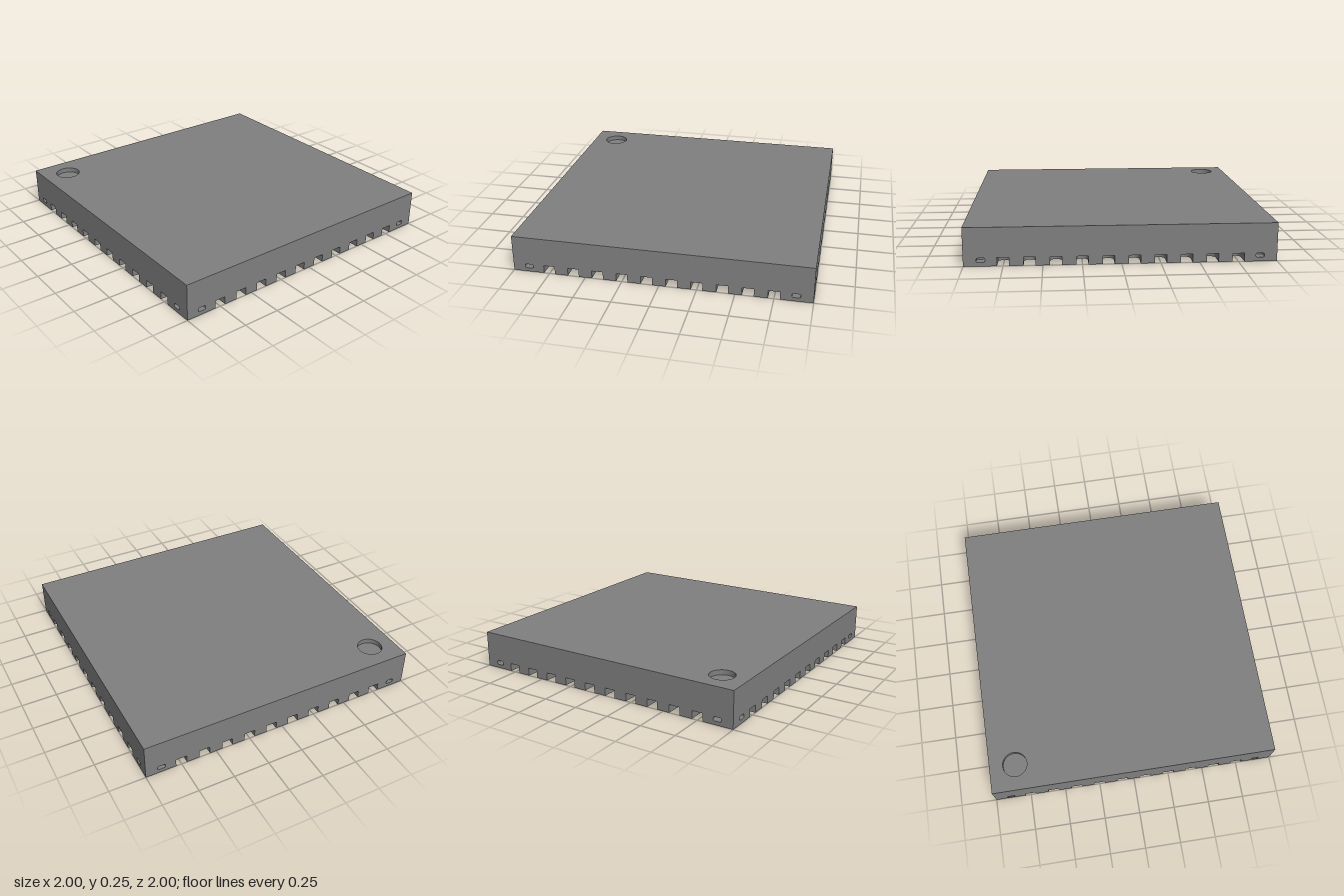
import * as THREE from 'three';
import { mergeGeometries, toCreasedNormals } from 'three/addons/utils/BufferGeometryUtils.js';

const H = 0.253;            // body height
const PITCH = 1 / 6;        // spacing of the terminal notches
const W = 0.038;            // half width of a notch
const LEN = 0.135;          // how far a notch runs inwards
const DEEP = 0.055;         // height of the notches and of the pad recess
const NOTCHES = Array.from({ length: 10 }, (_, i) => (i - 4.5) * PITCH);

const V = (x, y) => new THREE.Vector2(x, y);
const turn = (p, k) => { let [x, y] = [p.x, p.y]; while (k-- > 0) [x, y] = [-y, x]; return V(x, y); };

// Notch outline at the lower edge of the plan, with a round inner end
function notchPath(cx) {
  const pts = [V(cx - W, -1)];
  for (let i = 0; i <= 12; i++) {
    const a = Math.PI * (1 - i / 12);
    pts.push(V(cx + W * Math.cos(a), -1 + LEN - W + W * Math.sin(a)));
  }
  pts.push(V(cx + W, -1));
  return pts;
}

// Recess below the z = 0 plane: inward walls along counter-clockwise points, and a floor
function pocket(pts, depth, open = false) {
  const pos = [];
  const n = open ? pts.length - 1 : pts.length;
  for (let i = 0; i < n; i++) {
    const p = pts[i], q = pts[(i + 1) % pts.length];
    pos.push(p.x, p.y, 0, q.x, q.y, 0, q.x, q.y, -depth);
    pos.push(p.x, p.y, 0, q.x, q.y, -depth, p.x, p.y, -depth);
  }
  const walls = new THREE.BufferGeometry();
  walls.setAttribute('position', new THREE.Float32BufferAttribute(pos, 3));
  walls.computeVertexNormals();
  const floor = new THREE.ShapeGeometry(new THREE.Shape(pts)).toNonIndexed();
  floor.deleteAttribute('uv');
  floor.translate(0, 0, -depth);
  return toCreasedNormals(mergeGeometries([walls, floor]), 0.6);
}

// Small slot with rounded corners in a side wall
function slotPoints(cx, cy, w, h, r) {
  const pts = [];
  [[1, -1], [1, 1], [-1, 1], [-1, -1]].forEach(([sx, sy], c) => {
    for (let i = 0; i <= 4; i++) {
      const a = (c - 1 + i / 4) * Math.PI / 2;
      pts.push(V(cx + sx * (w / 2 - r) + r * Math.cos(a), cy + sy * (h / 2 - r) + r * Math.sin(a)));
    }
  });
  return pts;
}

export function createModel() {
  const grey = new THREE.MeshStandardMaterial({ color: 0x808080, side: THREE.DoubleSide });
  grey.name = 'grey';
  const model = new THREE.Group();
  model.name = 'chipPackage';
  const add = (parent, name, geometry) => {
    const mesh = new THREE.Mesh(geometry, grey);
    mesh.name = name;
    parent.add(mesh);
  };
  const face = (outline, holes = []) => {
    const shape = new THREE.Shape(outline);
    shape.holes = holes.map(h => new THREE.Path(h));
    return new THREE.ShapeGeometry(shape);
  };

  // Top face with the round orientation dimple
  const top = new THREE.Group();
  top.name = 'top';
  top.rotation.x = -Math.PI / 2;
  top.position.y = H;
  const dimple = Array.from({ length: 40 }, (_, i) => {
    const a = i / 40 * Math.PI * 2;
    return V(-0.82 + 0.085 * Math.cos(a), 0.82 + 0.085 * Math.sin(a));
  });
  add(top, 'topFace', face([V(-1, -1), V(1, -1), V(1, 1), V(-1, 1)], [dimple]));
  add(top, 'dimple', pocket(dimple, 0.034));
  model.add(top);

  // Underside with edge notches and a pad recess that has one chamfered corner
  const bottom = new THREE.Group();
  bottom.name = 'bottom';
  bottom.rotation.x = Math.PI / 2;
  const P = 0.69, C = 0.065;
  const pad = [V(-P + C, -P), V(P, -P), V(P, P), V(-P, P), V(-P, -P + C)];
  const outline = [];
  for (let k = 0; k < 4; k++) {
    outline.push(turn(V(-1, -1), k));
    for (const cx of NOTCHES) {
      const path = notchPath(cx).map(p => turn(p, k));
      outline.push(...path);
      add(bottom, 'terminalNotch', pocket(path.slice().reverse(), DEEP, true));
    }
  }
  add(bottom, 'bottomFace', face(outline, [pad]));
  add(bottom, 'padRecess', pocket(pad, DEEP));
  model.add(bottom);

  // Four side walls with notch openings and a slot near each end
  const wallOutline = [V(-1, 0)];
  for (const cx of NOTCHES) {
    wallOutline.push(V(cx - W, 0), V(cx - W, DEEP), V(cx + W, DEEP), V(cx + W, 0));
  }
  wallOutline.push(V(1, 0), V(1, H), V(-1, H));
  const slots = [-0.89, 0.89].map(x => slotPoints(x, 0.04, 0.055, 0.028, 0.009));
  for (let k = 0; k < 4; k++) {
    const side = new THREE.Group();
    side.name = 'side';
    side.rotation.y = k * Math.PI / 2;
    const wall = face(wallOutline, slots);
    wall.translate(0, 0, 1);
    add(side, 'sideWall', wall);
    for (const s of slots) add(side, 'tieBarSlot', pocket(s, 0.07).translate(0, 0, 1));
    model.add(side);
  }
  return model;
}
